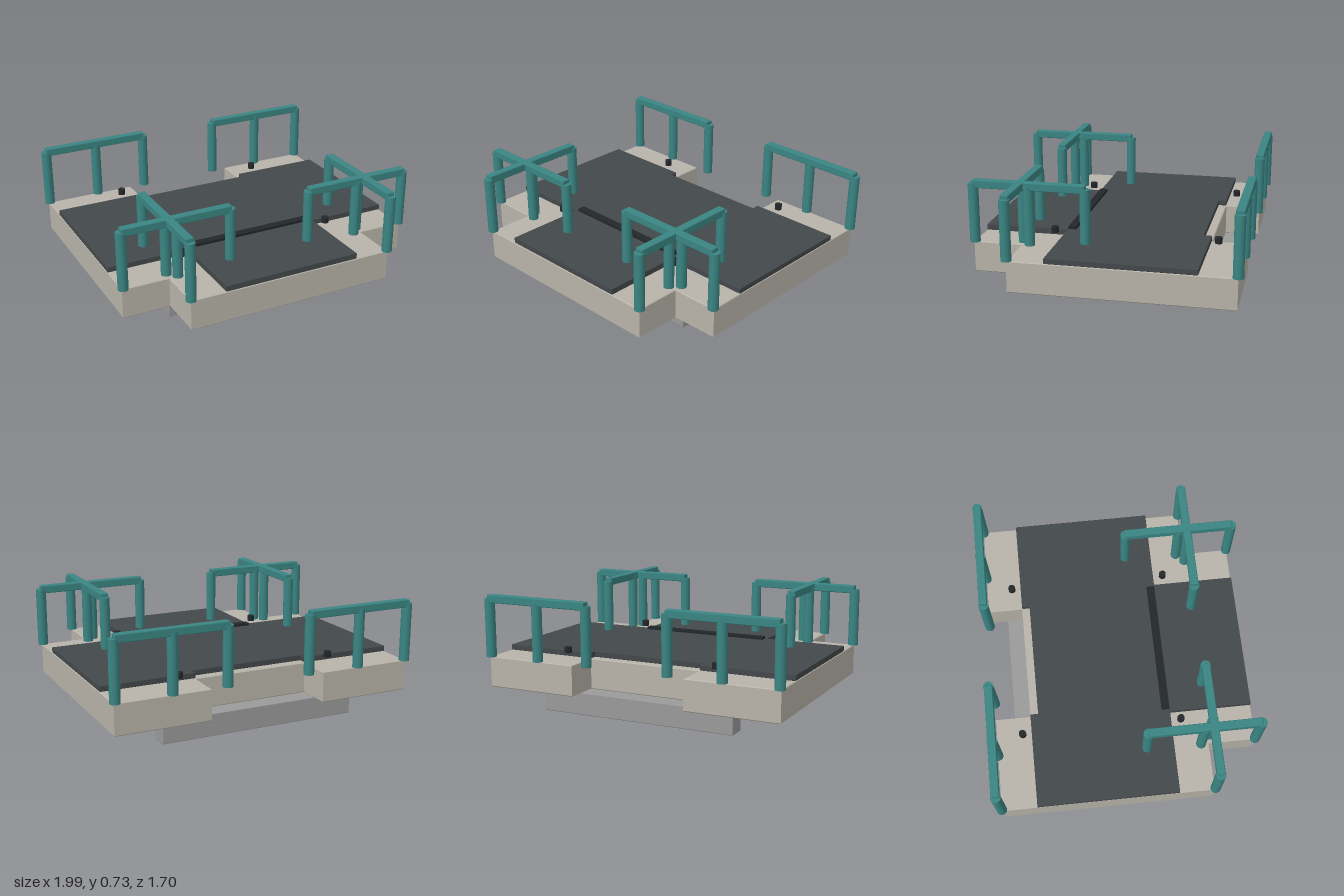
import * as THREE from 'three';
import { RoundedBoxGeometry } from 'three/addons/geometries/RoundedBoxGeometry.js';

const paint = (color) => new THREE.MeshStandardMaterial({ color });
const stone = paint(0xb8b4aa);
const grey = paint(0x9a9a9a);
const matting = paint(0x43484a);
const black = paint(0x23272a);
const teal = paint(0x3a8583);

function add(parent, name, geometry, material, x = 0, y = 0, z = 0) {
  const mesh = new THREE.Mesh(geometry, material);
  mesh.name = name;
  mesh.position.set(x, y, z);
  parent.add(mesh);
  return mesh;
}

// Symmetric slab: half outline as [x, z] points, mirrored across x, between two heights
function slab(half, bottom, top, bevel) {
  const mirrored = half.map(([x, z]) => [-x, z]).reverse();
  const shape = new THREE.Shape([...half, ...mirrored].map(([x, z]) => new THREE.Vector2(x, z)));
  const geometry = new THREE.ExtrudeGeometry(shape, {
    depth: top - bottom - 2 * bevel,
    bevelEnabled: true, bevelSize: bevel, bevelThickness: bevel, bevelOffset: -bevel, bevelSegments: 1,
  });
  geometry.rotateX(Math.PI / 2);
  geometry.translate(0, top - bevel, 0);
  return geometry;
}

// Railing along +x, centred on its middle post
function makeRailing(name) {
  const railing = new THREE.Group();
  railing.name = name;
  const post = new THREE.CylinderGeometry(0.032, 0.032, 0.37, 20);
  for (const x of [-0.347, 0, 0.347]) add(railing, 'railingPost', post, teal, x, 0.52, 0);
  add(railing, 'handrail', new RoundedBoxGeometry(0.7, 0.05, 0.052, 1, 0.006), teal, 0, 0.705, 0);
  return railing;
}

export function createModel() {
  const model = new THREE.Group();
  model.name = 'railedPlatform';

  // Deck with a narrower front bay and a notch at the back
  add(model, 'deck', slab([
    [0.375, -0.6], [0.375, -0.823], [0.973, -0.823], [0.973, 0.525], [0.673, 0.525], [0.673, 0.825],
  ], 0.14, 0.335, 0.005), stone);

  // Support beams
  for (const z of [0.36, -0.655]) {
    add(model, 'supportBeam', new RoundedBoxGeometry(1.28, 0.142, 0.122, 1, 0.006), grey, 0, 0.071, z);
  }

  // Floor mats and threshold strip
  add(model, 'mainMat', slab([
    [0.375, -0.548], [0.375, -0.598], [0.973, -0.598], [0.973, 0.298],
  ], 0.335, 0.37, 0.002), matting);
  add(model, 'frontMat', new THREE.BoxGeometry(0.892, 0.035, 0.523), matting, 0, 0.3525, 0.5605);
  add(model, 'thresholdStrip', new THREE.BoxGeometry(0.86, 0.02, 0.05), black, 0, 0.377, 0.27);

  for (const side of [-1, 1]) {
    // Corner knobs
    for (const z of [-0.655, 0.36]) {
      add(model, 'knob', new THREE.CylinderGeometry(0.023, 0.023, 0.037, 16), black, side * 0.505, 0.389, z);
    }
    // Crosswise railings at the back and front
    for (const [name, z] of [['backRailing', -0.822], ['frontRailing', 0.525]]) {
      const railing = makeRailing(name);
      railing.position.set(side * 0.618, 0, z);
      model.add(railing);
    }
    // Lengthwise railing crossing the front one
    const lengthwise = makeRailing('sideRailing');
    lengthwise.rotation.y = Math.PI / 2;
    lengthwise.position.set(side * 0.67, 0, 0.472);
    model.add(lengthwise);
  }
  return model;
}
